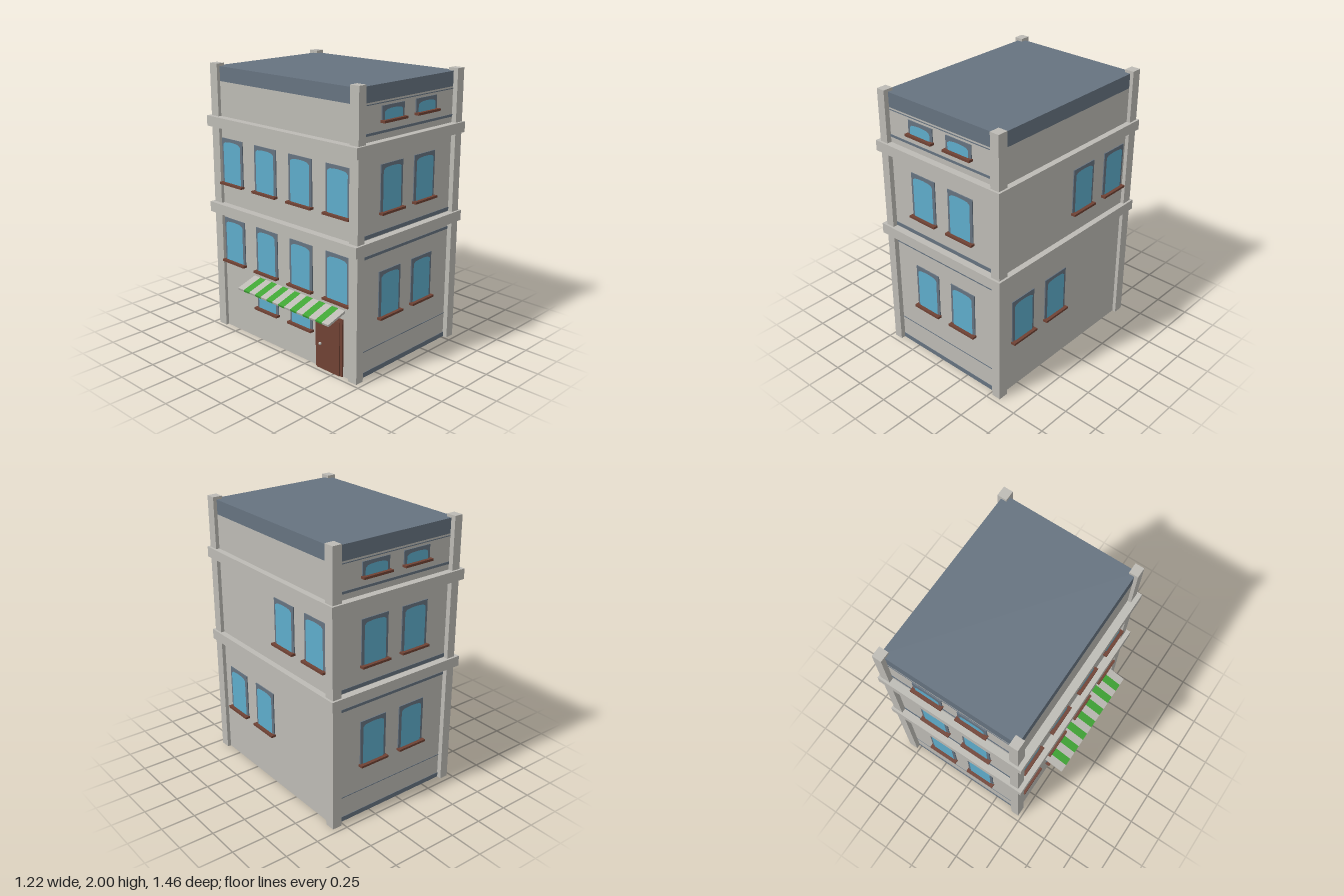
import * as THREE from 'three';

const mat = (name, color, side = THREE.FrontSide) => {
  const m = new THREE.MeshStandardMaterial({ color, side });
  m.name = name;
  return m;
};

export function createModel() {
  const stone = mat('pale stone', 0xbdbbb5);
  const slate = mat('slate grey', 0x667380);
  const glassMat = mat('window glass', 0x5eaccb);
  const brown = mat('brown wood', 0x704234);
  const green = mat('awning green', 0x40a535);

  const model = new THREE.Group();
  model.name = 'building';

  // Axis-aligned box given by its lower and upper limits
  function box(parent, name, material, x0, x1, y0, y1, z0, z1) {
    const m = new THREE.Mesh(new THREE.BoxGeometry(x1 - x0, y1 - y0, z1 - z0), material);
    m.position.set((x0 + x1) / 2, (y0 + y1) / 2, (z0 + z1) / 2);
    m.name = name;
    parent.add(m);
    return m;
  }

  const L = -0.45, R = 0.563, D = 0.676; // wall planes

  // Hollow walls, open at the bottom
  const outline = new THREE.Shape([[L, -D], [R, -D], [R, D], [L, D]].map(p => new THREE.Vector2(...p)));
  const t = 0.015;
  outline.holes.push(new THREE.Path(
    [[L + t, -D + t], [L + t, D - t], [R - t, D - t], [R - t, -D + t]].map(p => new THREE.Vector2(...p))));
  const walls = new THREE.Mesh(new THREE.ExtrudeGeometry(outline, { depth: 1.875, bevelEnabled: false }), stone);
  walls.rotation.x = -Math.PI / 2;
  walls.name = 'walls';
  model.add(walls);

  // Roof slab
  box(model, 'roof', slate, L, R, 1.875, 1.98, -D, D);

  // Corner pillars
  for (const [x0, x1] of [[-0.475, -0.41], [0.52, 0.59]])
    for (const [z0, z1] of [[-0.712, -0.636], [0.636, 0.712]])
      box(model, 'cornerPillar', stone, x0, x1, 0, 2, z0, z1);

  // Bands between storeys
  for (const [y0, y1] of [[0.905, 0.98], [1.55, 1.625]])
    box(model, 'storeyBand', stone, -0.508, 0.606, y0, y1, -0.728, 0.728);

  // One group per facade; local z points out of the wall
  function facade(name, x, z, angle) {
    const g = new THREE.Group();
    g.name = name;
    g.position.set(x, 0, z);
    g.rotation.y = angle;
    model.add(g);
    return g;
  }
  const front = facade('frontFacade', 0, D, 0);
  const back = facade('backFacade', 0, -D, Math.PI);
  const left = facade('leftFacade', R, 0, Math.PI / 2);
  const right = facade('rightFacade', L, 0, -Math.PI / 2);

  // Window: frame plate, pane with clipped upper corners, and sill
  function makeWindow(parent, cx, y, h) {
    const g = new THREE.Group();
    g.name = 'window';
    g.position.set(cx, y, 0);
    parent.add(g);
    box(g, 'windowFrame', slate, -0.11, 0.11, 0, h, -0.001, 0.007);
    const w = 0.09, top = h - 0.022;
    const pane = new THREE.Shape();
    pane.moveTo(-w, 0.008);
    pane.lineTo(w, 0.008);
    pane.lineTo(w, top - 0.02);
    pane.lineTo(w - 0.02, top - 0.006);
    pane.quadraticCurveTo(0, top + 0.006, -w + 0.02, top - 0.006);
    pane.lineTo(-w, top - 0.02);
    const glass = new THREE.Mesh(new THREE.ShapeGeometry(pane, 6), glassMat);
    glass.position.z = 0.011;
    glass.name = 'windowGlass';
    g.add(glass);
    box(g, 'windowSill', brown, -0.118, 0.118, -0.008, 0.008, 0, 0.035);
  }

  // Front and back: three rows of two windows, plus thin stripes
  for (const [wall, s] of [[front, 1], [back, -1]]) {
    for (const x of [-0.115, 0.225])
      for (const [y, h] of [[0.392, 0.334], [1.134, 0.328], [1.742, 0.1]])
        makeWindow(wall, x * s, y, h);
    for (const [y0, y1] of [[0, 0.035], [0.188, 0.193], [0.848, 0.868], [0.985, 1.012], [1.665, 1.682], [1.858, 1.864]])
      box(wall, 'wallStripe', slate, s > 0 ? -0.41 : -0.52, s > 0 ? 0.52 : 0.41, y0, y1, -0.001, 0.003);
  }

  // Left side: two windows on each lower storey
  for (const z of [0.45, 0.11]) makeWindow(left, -z, 0.39, 0.334);
  for (const z of [-0.16, -0.5]) makeWindow(left, -z, 1.135, 0.334);

  // Right side: two rows of four windows and two small shop windows
  for (const z of [-0.52, -0.173, 0.173, 0.52]) {
    makeWindow(right, z, 1.135, 0.334);
    makeWindow(right, z, 0.535, 0.334);
  }
  for (const z of [-0.173, 0.173]) makeWindow(right, z, 0.248, 0.2);

  // Door with frame and knob
  box(right, 'doorFrame', brown, 0.32, 0.57, 0, 0.42, -0.018, 0.012);
  box(right, 'door', brown, 0.34, 0.55, 0, 0.4, 0, 0.019);
  const knob = new THREE.Mesh(new THREE.SphereGeometry(0.011, 12, 8), stone);
  knob.position.set(0.375, 0.19, 0.026);
  knob.name = 'doorKnob';
  right.add(knob);

  // Striped sloping awning
  const awning = new THREE.Group();
  awning.name = 'awning';
  awning.position.set(0, 0.48, 0);
  awning.rotation.x = 0.3;
  right.add(awning);
  const n = 15, z0 = -0.317, step = 0.9 / n;
  for (let i = 0; i < n; i++)
    box(awning, 'awningStripe', i % 2 ? green : stone, z0 + i * step, z0 + (i + 1) * step, -0.008, 0.008, -0.01, 0.165);

  return model;
}
